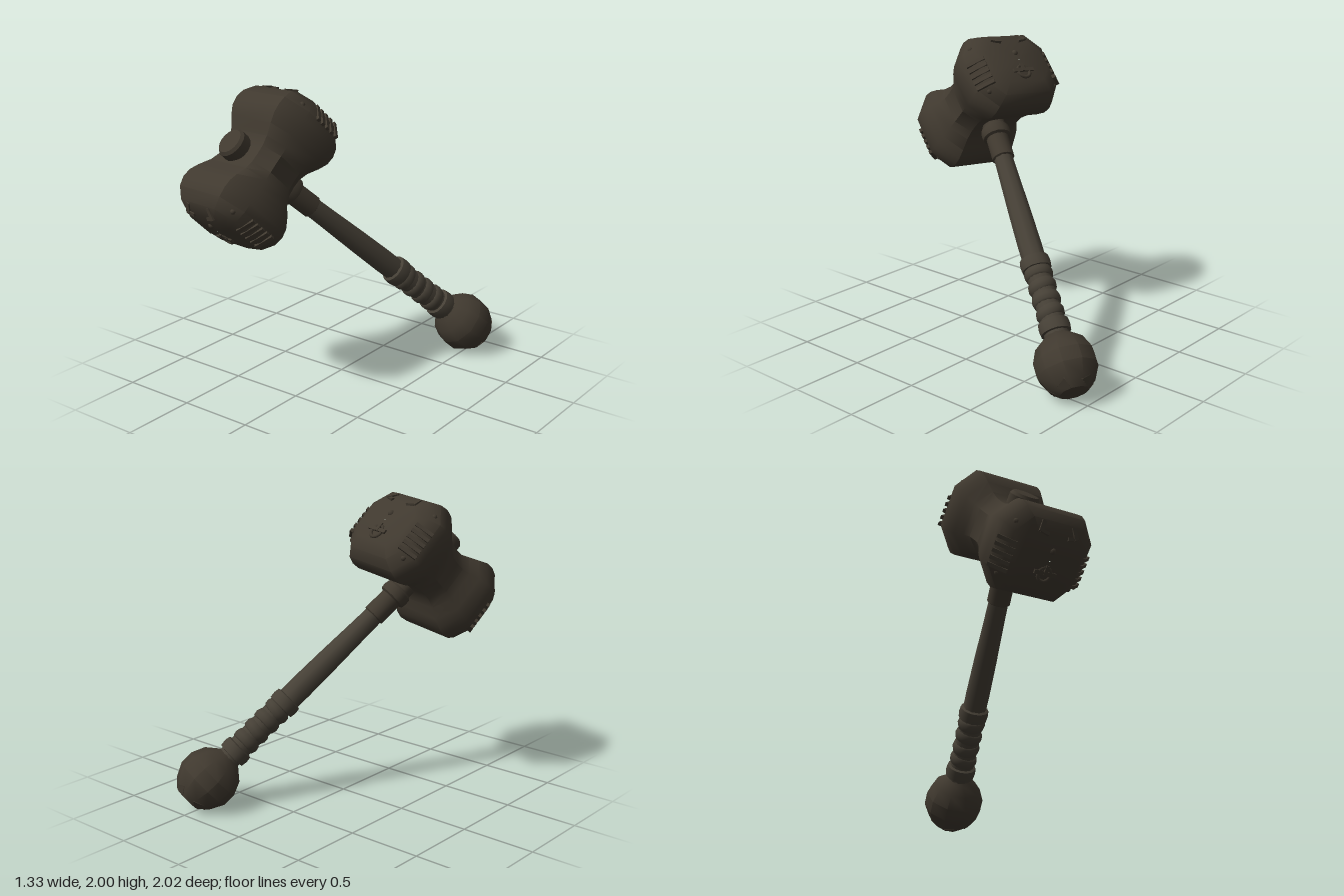
import * as THREE from 'three';
import { toCreasedNormals } from 'three/addons/utils/BufferGeometryUtils.js';

const iron = new THREE.MeshStandardMaterial({ color: 0x40392f });
iron.name = 'dark iron';
const grip = new THREE.MeshStandardMaterial({ color: 0x464036 });
grip.name = 'worn grip';

function add(parent, name, geometry, material, x = 0, y = 0, z = 0) {
  const mesh = new THREE.Mesh(geometry, material);
  mesh.name = name;
  mesh.position.set(x, y, z);
  parent.add(mesh);
  return mesh;
}

function lathe(points, sides, crease) {
  const geometry = new THREE.LatheGeometry(points.map(([r, y]) => new THREE.Vector2(r, y)), sides);
  return toCreasedNormals(geometry, crease);
}

// Group whose y axis follows up and whose z axis follows front
function frame(name, up, front, position) {
  const group = new THREE.Group();
  group.name = name;
  const y = new THREE.Vector3(...up).normalize();
  const x = new THREE.Vector3().crossVectors(y, new THREE.Vector3(...front)).normalize();
  const z = new THREE.Vector3().crossVectors(x, y);
  group.quaternion.setFromRotationMatrix(new THREE.Matrix4().makeBasis(x, y, z));
  group.position.set(...position);
  return group;
}

// Chamfered cross-sections along z: [distance from middle, half width, half height]
function headGeometry() {
  const half = [
    [0, 0.265, 0.185], [0.06, 0.268, 0.188], [0.12, 0.283, 0.208], [0.19, 0.312, 0.25], [0.25, 0.33, 0.278],
    [0.31, 0.335, 0.285], [0.37, 0.325, 0.273], [0.44, 0.275, 0.232], [0.482, 0.21, 0.16], [0.492, 0.004, 0.003],
  ];
  const rings = [...half.slice(1).reverse().map(([z, w, h]) => [-z, w, h]), ...half];
  const corners = [[1, -0.5], [1, 0.5], [0.66, 1], [-0.66, 1], [-1, 0.5], [-1, -0.5], [-0.66, -1], [0.66, -1]];
  const n = corners.length;
  const position = [];
  const index = [];
  rings.forEach(([z, w, h], i) => {
    corners.forEach(([x, y], j) => {
      position.push(x * w, y * h, z);
      if (i === rings.length - 1) return;
      const a = i * n + j;
      const b = i * n + (j + 1) % n;
      index.push(a, b, b + n, a, b + n, a + n);
    });
  });
  const geometry = new THREE.BufferGeometry();
  geometry.setAttribute('position', new THREE.Float32BufferAttribute(position, 3));
  geometry.setIndex(index);
  return toCreasedNormals(geometry, 0.75);
}

// Raised ornaments of one striking face, built on the +z side
function faceOrnaments() {
  const group = new THREE.Group();
  group.name = 'faceOrnaments';

  // Central ring with a crossbar and studs
  add(group, 'emblemRing', new THREE.TorusGeometry(0.045, 0.012, 6, 14), iron, 0, -0.09, 0.487);
  add(group, 'emblemBar', new THREE.BoxGeometry(0.16, 0.026, 0.025), iron, 0, -0.08, 0.486);
  add(group, 'emblemPin', new THREE.BoxGeometry(0.024, 0.06, 0.025), iron, 0, -0.06, 0.488);
  add(group, 'centreStud', new THREE.SphereGeometry(0.022, 10, 8), iron, 0, 0.06, 0.482);

  for (const s of [-1, 1]) {
    // Angled hooks on the upper bevel
    const hook = add(group, 'hook', new THREE.BoxGeometry(0.03, 0.08, 0.024), iron, s * 0.12, 0.19, 0.462);
    hook.rotation.set(-0.6, 0, s * 0.3);
    const barb = add(group, 'hookBarb', new THREE.BoxGeometry(0.06, 0.022, 0.024), iron, s * 0.1, 0.16, 0.479);
    barb.rotation.set(-0.6, 0, s * 0.2);

    // Stacked ribs wrapping the side bevels
    for (let k = 0; k < 5; k++) {
      const rib = add(group, 'sideRib', new THREE.BoxGeometry(0.13, 0.024, 0.024), iron, s * 0.287, 0.05 - k * 0.045, 0.418);
      rib.rotation.y = s * 0.8;
    }

    // Rivets at the bevel corners
    for (const y of [-0.165, 0.165]) {
      add(group, 'rivet', new THREE.SphereGeometry(0.02, 8, 6), iron, s * 0.262, y, 0.395);
    }
  }
  return group;
}

// Head with a narrow waist and two bulging ends
function buildHead() {
  const head = frame('head', [-0.2, 0.705, 0.68], [-0.12, -0.685, 0.72], [-0.27, 1.51, 0.5]);
  add(head, 'headBlock', headGeometry(), iron);
  const backOrnaments = faceOrnaments();
  backOrnaments.rotation.y = Math.PI;
  head.add(faceOrnaments(), backOrnaments);

  // Round boss on the crown
  add(head, 'crownBoss', lathe([[0.1, 0.15], [0.1, 0.252], [0.085, 0.272], [0, 0.277]], 16, 0.6), iron, -0.025);
  return head;
}

// Handle with its axis along y, ending inside the head at the origin
function buildHandle() {
  const handle = frame('handle', [-0.375, 0.655, 0.655], [-0.14, -0.739, 0.659], [-0.275, 1.51, 0.5]);

  // Collar and sleeve under the head
  add(handle, 'headCollar', lathe([
    [0.06, -0.48], [0.076, -0.47], [0.076, -0.31], [0.095, -0.3], [0.1, -0.27], [0.095, -0.235], [0.08, -0.22], [0.08, -0.12],
  ], 16, 0.6), iron);

  // Slightly swelling shaft
  add(handle, 'shaft', lathe([[0.078, -1.32], [0.08, -1.15], [0.076, -0.9], [0.068, -0.6], [0.064, -0.4]], 10, 0.7), grip);

  // Grip core, tilted wraps and end bands
  add(handle, 'gripCore', new THREE.CylinderGeometry(0.08, 0.08, 0.56, 14), grip, 0, -1.54, 0);
  for (let k = 0; k < 4; k++) {
    const wrap = add(handle, 'gripWrap', new THREE.TorusGeometry(0.066, 0.028, 8, 16), grip, 0, -1.645 + k * 0.093, 0);
    wrap.rotation.set(Math.PI / 2 + 0.12, (k % 2 ? 1 : -1) * 0.1, 0);
    wrap.scale.z = 1.6;
  }
  for (const [y, r] of [[-1.29, 0.1], [-1.74, 0.102]]) {
    add(handle, 'gripBand', lathe([
      [0.07, y - 0.045], [r - 0.005, y - 0.04], [r, y], [r - 0.005, y + 0.035], [0.07, y + 0.045],
    ], 16, 0.6), grip);
  }

  // Faceted ball pommel
  add(handle, 'pommel', lathe([
    [0, -2.185], [0.095, -2.18], [0.15, -2.13], [0.197, -2.04], [0.197, -1.95], [0.16, -1.865], [0.1, -1.815], [0.07, -1.79],
  ], 10, 0.7), iron);

  // Small raised wedges around the pommel end
  for (let k = 0; k < 5; k++) {
    const turn = new THREE.Group();
    turn.name = 'pommelMark';
    turn.rotation.y = (k + 0.5) * Math.PI * 2 / 5;
    handle.add(turn);
    const wedge = add(turn, 'pommelWedge', new THREE.CylinderGeometry(0.045, 0.045, 0.012, 3), iron, 0.12, -2.148, 0);
    wedge.rotation.z = 0.74;
  }
  return handle;
}

export function createModel() {
  const model = new THREE.Group();
  model.name = 'hammer';
  model.add(buildHead(), buildHandle());
  return model;
}
